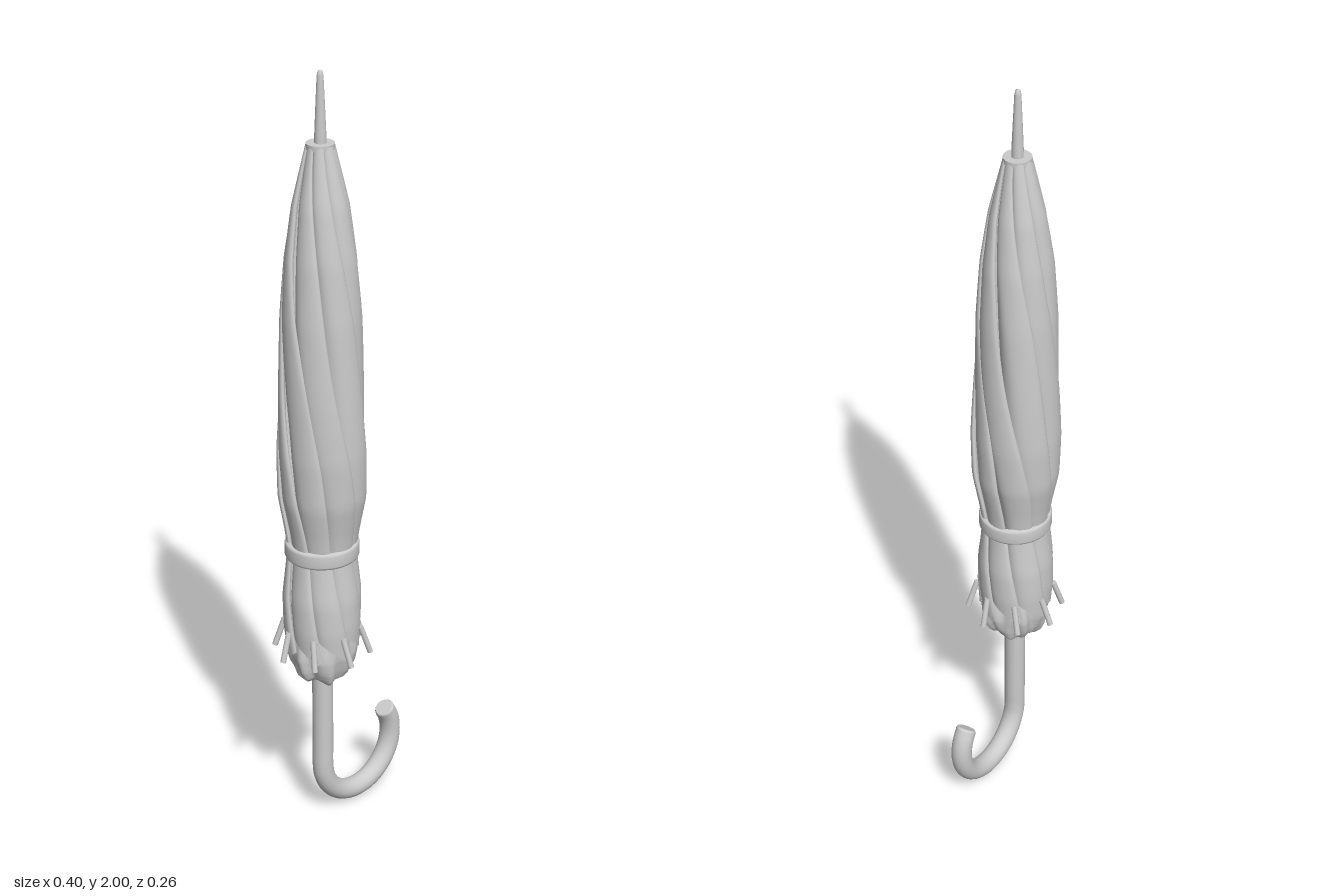
import * as THREE from 'three';

const AXIS_X = -0.07;   // shaft position
const RIBS = 8;
const STEP = Math.PI * 2 / RIBS;
const FIRST = -10 * Math.PI / 180;

const mat = new THREE.MeshStandardMaterial({ color: 0xcccccc });
const cloth = new THREE.MeshStandardMaterial({ color: 0xcccccc, side: THREE.DoubleSide });

// outer radius of the furled cloth, as [height, radius]
const PROFILE = [[0.42, 0.072], [0.5, 0.094], [0.58, 0.1], [0.66, 0.099], [0.73, 0.09], [0.785, 0.084],
  [0.84, 0.091], [0.93, 0.107], [1.05, 0.111], [1.2, 0.107], [1.4, 0.099], [1.55, 0.087],
  [1.68, 0.068], [1.77, 0.047], [1.83, 0.033]];

function radiusAt(y) {
  let i = 0;
  while (i < PROFILE.length - 2 && y > PROFILE[i + 1][0]) i++;
  const [y0, r0] = PROFILE[i], [y1, r1] = PROFILE[i + 1];
  return THREE.MathUtils.lerp(r0, r1, THREE.MathUtils.clamp((y - y0) / (y1 - y0), 0, 1));
}

const twistAt = y => FIRST - 1.6 * (y - 0.55);

// grid surface from fn(u, v) -> [x, y, z]
function surface(fn, nu, nv) {
  const pos = [], index = [];
  for (let j = 0; j <= nv; j++)
    for (let i = 0; i <= nu; i++) pos.push(...fn(i / nu, j / nv));
  for (let j = 0; j < nv; j++)
    for (let i = 0; i < nu; i++) {
      const a = j * (nu + 1) + i, b = a + 1, c = a + nu + 1, d = c + 1;
      index.push(a, b, c, b, d, c);
    }
  const g = new THREE.BufferGeometry();
  g.setAttribute('position', new THREE.Float32BufferAttribute(pos, 3));
  g.setIndex(index);
  g.computeVertexNormals();
  return g;
}

// cross-section of one wrapped fold: x = turn in rib steps, y = share of the radius
const fold = new THREE.CatmullRomCurve3([[-1.35, 0.62], [-1.05, 0.8], [-0.75, 0.93], [-0.4, 0.985],
  [-0.1, 1], [0.08, 0.985], [0.15, 0.94], [0.08, 0.88], [-0.2, 0.84]]
  .map(([a, r]) => new THREE.Vector3(a, r, 0)));

function foldPanel(k) {
  return surface((u, v) => {
    const p = fold.getPoint(u);
    const hem = 0.5 + 0.07 * Math.min(1, Math.abs(p.x)) + 0.008 * Math.sin(k * 2.3);
    const y = THREE.MathUtils.lerp(1.825, hem, v);
    const wave = 0.1 * Math.sin(y * 7 + k * 2.1) * Math.sin(Math.PI * v);
    const depth = 1 + 0.5 * THREE.MathUtils.smoothstep(y, 1.35, 1.75);
    const a = twistAt(y) + (k + p.x + wave) * STEP;
    const swell = 1 + 0.025 * Math.sin(y * 5 + k * 1.7);
    const r = radiusAt(y) * swell * (1 - (1 - p.y) * depth);
    return [r * Math.sin(a), y, r * Math.cos(a)];
  }, 28, 72);
}

// gathered inner cloth showing below the hem
function innerCloth() {
  const rows = [[0.64, 0.078], [0.56, 0.084], [0.5, 0.086], [0.46, 0.077], [0.435, 0.066], [0.425, 0.055], [0.44, 0.024]];
  return surface((u, v) => {
    const f = v * (rows.length - 1), i = Math.min(Math.floor(f), rows.length - 2);
    const y = THREE.MathUtils.lerp(rows[i][0], rows[i + 1][0], f - i);
    const r = THREE.MathUtils.lerp(rows[i][1], rows[i + 1][1], f - i);
    const a = u * Math.PI * 2, s = a - twistAt(y) * 2;
    const pleat = 1 + 0.06 * Math.sin(8 * s) + 0.04 * Math.sin(13 * a + 1);
    const dip = 0.008 * Math.sin(5 * a + 0.7) * v;
    return [r * pleat * Math.sin(a), y + dip, r * pleat * Math.cos(a)];
  }, 112, 18);
}

function rod(from, to, radius) {
  const dir = to.clone().sub(from);
  const m = new THREE.Mesh(new THREE.CylinderGeometry(radius, radius, dir.length(), 10), mat);
  m.position.copy(from).addScaledVector(dir, 0.5);
  m.quaternion.setFromUnitVectors(new THREE.Vector3(0, 1, 0), dir.normalize());
  return m;
}

const lathe = (pts, seg = 32) =>
  new THREE.LatheGeometry(pts.map(([r, y]) => new THREE.Vector2(r, y)), seg);

export function createModel() {
  const group = new THREE.Group();
  const body = new THREE.Group();
  body.name = 'umbrellaBody';
  body.position.x = AXIS_X;
  group.add(body);
  const add = (parent, name, geometry, material = mat) => {
    const m = new THREE.Mesh(geometry, material);
    m.name = name;
    parent.add(m);
    return m;
  };

  // furled canopy
  const canopy = new THREE.Group();
  canopy.name = 'canopy';
  body.add(canopy);
  for (let k = 0; k < RIBS; k++) add(canopy, 'canopyFold', foldPanel(k), cloth);
  add(canopy, 'innerCloth', innerCloth(), cloth);

  // rib tips poking out at the hem
  for (let k = 0; k < RIBS; k++) {
    const a = FIRST + k * STEP;
    const at = (r, y, da) => new THREE.Vector3(r * Math.sin(a + da), y, r * Math.cos(a + da));
    const tip = rod(at(0.098, 0.57, -0.04), at(0.122, 0.495, 0.04), 0.0075);
    tip.name = 'ribTip';
    body.add(tip);
  }

  // tie band
  const band = add(body, 'tieBand', lathe([[0.08, 0.765], [0.089, 0.766], [0.092, 0.772], [0.092, 0.8],
    [0.089, 0.806], [0.08, 0.807]], 48), cloth);
  band.scale.set(1.02, 1, 1);

  // shaft, top collar and ferrule
  const shaft = add(body, 'shaft', new THREE.CylinderGeometry(0.012, 0.012, 1.4, 16));
  shaft.position.y = 1.12;
  const collar = add(body, 'topCollar', new THREE.CylinderGeometry(0.034, 0.034, 0.013, 32));
  collar.position.y = 1.822;
  add(body, 'ferrule', lathe([[0.014, 1.82], [0.014, 1.85], [0.011, 1.92], [0.008, 1.985], [0.006, 1.996], [0, 2]], 20));

  // crook handle: straight grip then a hook
  const R = 0.123, TUBE = 0.027, END = Math.PI * 35 / 180;
  const centre = new THREE.Vector3(AXIS_X + R, 0.15, 0);
  const points = [0.46, 0.37, 0.28, 0.2].map(y => new THREE.Vector3(AXIS_X, y, 0));
  for (let i = 0; i <= 16; i++) {
    const t = Math.PI + (Math.PI + END) * i / 16;
    points.push(new THREE.Vector3(centre.x + R * Math.cos(t), centre.y + R * Math.sin(t), 0));
  }
  add(group, 'crookHandle', new THREE.TubeGeometry(new THREE.CatmullRomCurve3(points), 96, TUBE, 20));

  // closed end of the hook
  const cap = add(group, 'handleEnd', new THREE.CylinderGeometry(TUBE * 0.85, TUBE, 0.006, 20));
  cap.position.copy(points[points.length - 1]);
  cap.rotation.z = END;

  return group;
}
